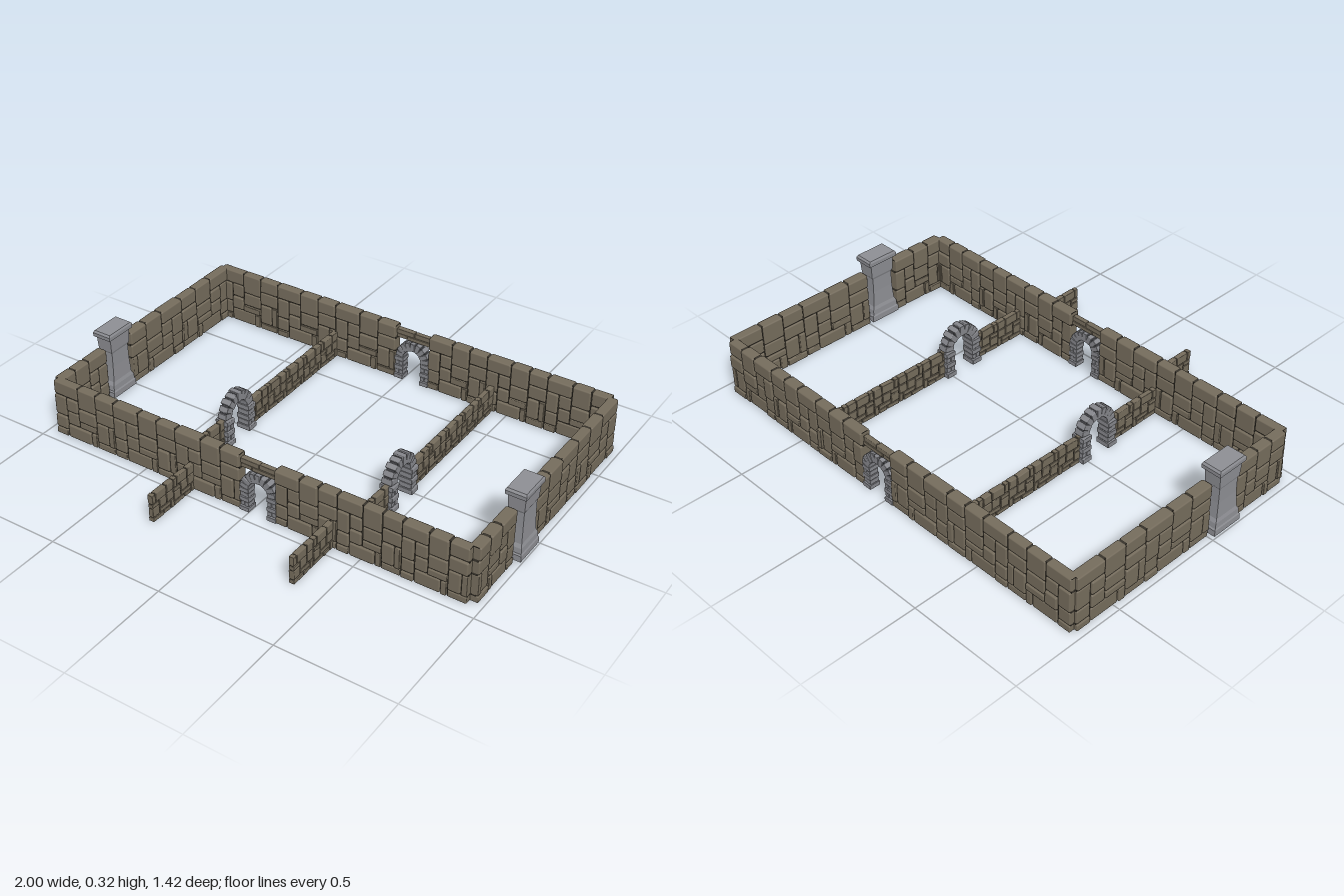
import * as THREE from 'three';
import { mergeGeometries } from 'three/addons/utils/BufferGeometryUtils.js';
import { RoundedBoxGeometry } from 'three/addons/geometries/RoundedBoxGeometry.js';

const mat = (color, flatShading = false) => new THREE.MeshStandardMaterial({ color, flatShading });
const brown = mat(0x756c5c), mortar = mat(0x37332b), grey = mat(0x85868b), greyMortar = mat(0x45464a);
const pillarMat = mat(0x8d8e93, true);

// Small seeded random
let seed = 7;
const rand = () => (seed = (seed * 16807) % 2147483647) / 2147483647;
const jitter = (a) => (rand() - 0.5) * 2 * a;

// Masonry patterns: each letter is one rectangular stone
const ASHLAR = [
  'aaaabbbccc',
  'aaaabbbccc',
  'ddeebbbfff',
  'ddeegggfff',
  'ddhhgggiij',
  'kkhhllliij',
  'kkmmmmniij',
  'oommmmnppp',
];
const RUBBLE = [
  'aabbbc',
  'aabbbc',
  'ddeeff',
  'ddeegg',
  'hiiigg',
  'hjjkkk',
];

function stone(w, h, d, x, y, z = 0, turn = 0) {
  const g = new RoundedBoxGeometry(w, h, d, 1, Math.min(w, h, d) * 0.13);
  g.rotateZ(turn);
  return g.translate(x, y, z);
}

function readStones(pattern) {
  const rects = {};
  pattern.forEach((row, r) => [...row].forEach((k, c) => {
    const b = rects[k] ??= { c0: c, c1: c, r0: r, r1: r };
    b.c1 = Math.max(b.c1, c);
    b.r1 = Math.max(b.r1, r);
  }));
  return Object.values(rects);
}

// Wall along x from 0 to length, made of repeated panels
function wall(name, length, { pattern, tile, height, depth, vary, gap, turn = 0 }) {
  const group = new THREE.Group();
  group.name = name;
  const n = Math.max(1, Math.round(length / tile));
  const cw = length / n / pattern[0].length, ch = height / pattern.length;
  const parts = [];
  for (let i = 0; i < n; i++) {
    for (const { c0, c1, r0, r1 } of readStones(pattern)) {
      const w = (c1 - c0 + 1) * cw, h = (r1 - r0 + 1) * ch;
      parts.push(stone(w - gap, h - gap, depth + jitter(vary),
        i * length / n + c0 * cw + w / 2, height - r0 * ch - h / 2, 0, jitter(turn)));
    }
  }
  const stones = new THREE.Mesh(mergeGeometries(parts), brown);
  stones.name = name + 'Stones';
  const core = new THREE.Mesh(new THREE.BoxGeometry(length - 0.006, height - 0.006, depth - 2 * vary - 0.006), mortar);
  core.position.set(length / 2, height / 2, 0);
  core.name = name + 'Mortar';
  group.add(stones, core);
  return group;
}
const TALL = { pattern: ASHLAR, tile: 0.31, height: 0.25, depth: 0.046, vary: 0.006, gap: 0.004 };
const LOW = { pattern: RUBBLE, tile: 0.125, height: 0.125, depth: 0.023, vary: 0.002, gap: 0.003, turn: 0.06 };

// Stone arch facing z, centred on x = 0
function arch(name, depth, pierDepth) {
  const group = new THREE.Group();
  group.name = name;
  const inner = 0.043, outer = 0.082, spring = 0.108, rows = 5, ring = 9;
  const mid = (inner + outer) / 2, t = outer - inner, parts = [];
  for (const s of [-1, 1]) {
    for (let r = 0; r < rows; r++) {
      const h = spring / rows, y = (r + 0.5) * h;
      const d = pierDepth - (r % 2) * 0.005 + (r === 0 ? 0.004 : 0);
      if (r % 2) {
        parts.push(stone(t * 0.5, h - 0.002, d, s * (inner + t * 0.25), y));
        parts.push(stone(t * 0.5, h - 0.002, d - 0.003, s * (inner + t * 0.75), y));
      } else parts.push(stone(t + 0.004, h - 0.002, d, s * mid, y));
    }
  }
  for (let i = 0; i < ring; i++) {
    const a = (i + 0.5) / ring * Math.PI;
    parts.push(stone(t + jitter(0.003), Math.PI * mid / ring, depth + jitter(0.004),
      Math.cos(a) * mid, spring + Math.sin(a) * mid, 0, a));
  }
  const stones = new THREE.Mesh(mergeGeometries(parts), grey);
  stones.name = name + 'Stones';
  // Mortar body behind the stones
  const o = outer - 0.004, n = inner + 0.003;
  const shape = new THREE.Shape();
  shape.moveTo(o, 0.002);
  shape.lineTo(o, spring);
  shape.absarc(0, spring, o, 0, Math.PI, false);
  shape.lineTo(-o, 0.002);
  shape.lineTo(-n, 0.002);
  shape.lineTo(-n, spring);
  shape.absarc(0, spring, n, Math.PI, 0, true);
  shape.lineTo(n, 0.002);
  const d = depth - 0.012;
  const body = new THREE.Mesh(new THREE.ExtrudeGeometry(shape, { depth: d, bevelEnabled: false }).translate(0, 0, -d / 2), greyMortar);
  body.name = name + 'Mortar';
  group.add(stones, body);
  return group;
}

// Square tapering pillar with plinth and cap
function pillar(name) {
  const profile = [
    [0, 0.01], [0.071, 0.01], [0.071, 0.036], [0.066, 0.042], [0.064, 0.065], [0.056, 0.08],
    [0.051, 0.15], [0.050, 0.215], [0.056, 0.225], [0.060, 0.283], [0.072, 0.289],
    [0.073, 0.306], [0.066, 0.315], [0, 0.315],
  ].map(([r, y]) => new THREE.Vector2(r * Math.SQRT2, y));
  const g = new THREE.LatheGeometry(profile, 4, Math.PI / 4).scale(0.6, 1, 1);
  const mesh = new THREE.Mesh(g, pillarMat);
  mesh.name = name;
  return mesh;
}

export function createModel() {
  const model = new THREE.Group();
  model.name = 'walledCourtyard';
  const put = (obj, x, z, ry = 0) => {
    obj.position.set(x, 0, z);
    obj.rotation.y = ry;
    model.add(obj);
  };
  const alongZ = -Math.PI / 2; // wall runs toward +z

  // Front and back walls, each with a central gateway
  for (const [side, z] of [['front', 0.431], ['back', -0.685]]) {
    put(wall(side + 'WallRight', 0.92, TALL), -0.96, z);
    put(wall(side + 'WallLeft', 0.825, TALL), 0.12, z);
    put(arch(side + 'Gate', 0.042, 0.046), 0.042, z);
    const lintel = mergeGeometries([
      stone(0.085, 0.022, 0.026, 0.002, 0.225), stone(0.073, 0.022, 0.022, 0.083, 0.225),
      stone(0.05, 0.018, 0.022, -0.015, 0.204), stone(0.108, 0.018, 0.026, 0.066, 0.204),
    ]);
    const mesh = new THREE.Mesh(lintel, brown);
    mesh.name = side + 'Lintel';
    put(mesh, 0, z);
  }

  // Side walls with a pillar standing in the gap
  for (const [side, s] of [['right', -1], ['left', 1]]) {
    put(wall(side + 'WallBack', 0.69, TALL), s * 0.95, -0.685, alongZ);
    put(wall(side + 'WallFront', 0.27, TALL), s * 0.95, 0.158, alongZ);
    put(pillar(side + 'Pillar'), s * 0.956, 0.08);
  }

  // Low dividing walls with an arch, and short spurs outside the front
  for (const [side, x, spurX] of [['right', -0.344, -0.27], ['left', 0.426, 0.37]]) {
    put(wall(side + 'DividerBack', 0.65, LOW), x, -0.665, alongZ);
    put(wall(side + 'DividerFront', 0.27, LOW), x, 0.14, alongZ);
    const inner = arch(side + 'DividerArch', 0.04, 0.054);
    inner.scale.setScalar(1.13);
    put(inner, x, 0.065, Math.PI / 2);
    put(wall(side + 'Spur', 0.255, LOW), spurX, 0.45, alongZ);
  }
  return model;
}
